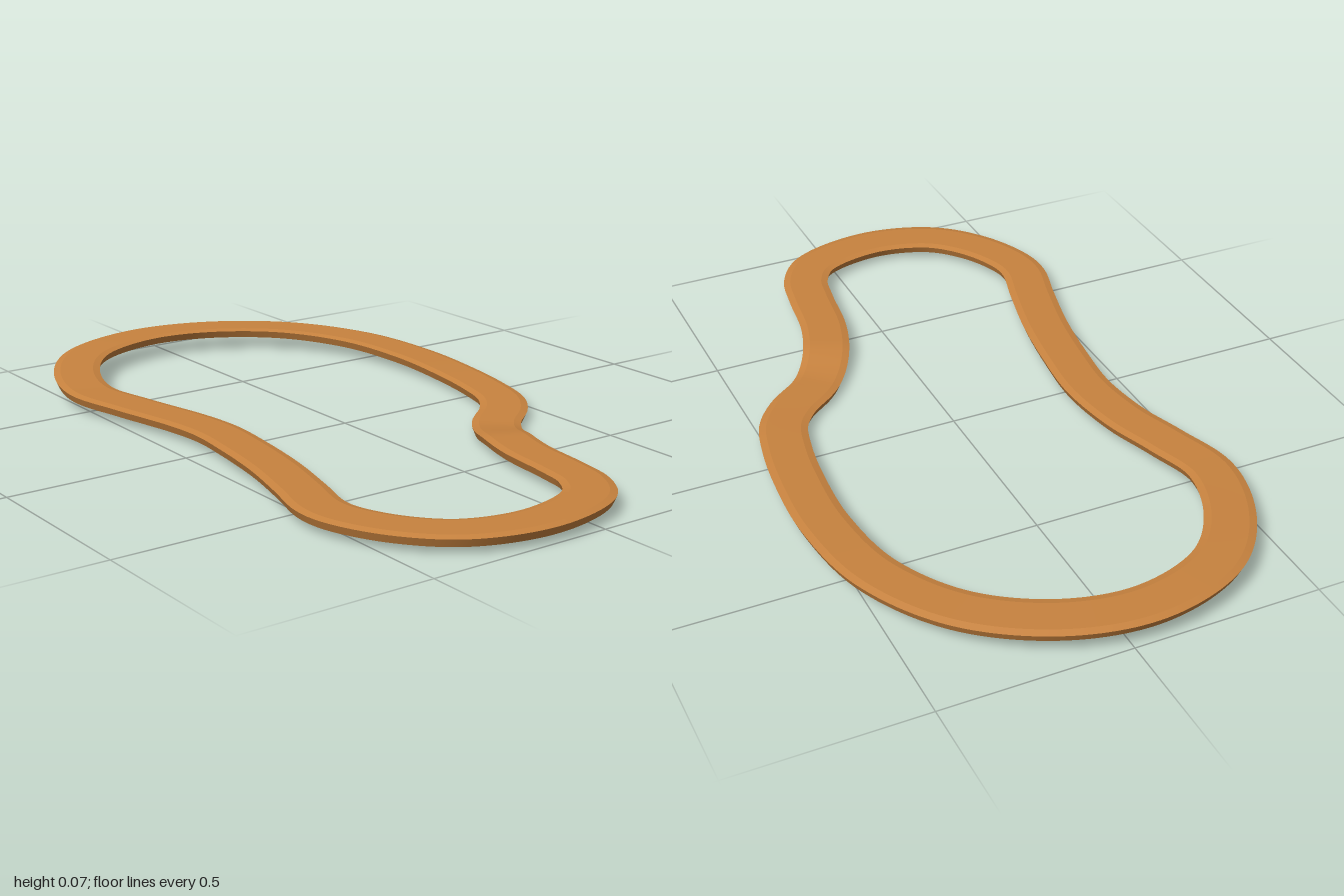
import * as THREE from 'three';

const SEGMENTS = 260;

// Centre line of the band, as x, z, clockwise seen from above
const PATH = [
  [-0.08, -0.935], [0.13, -0.9], [0.33, -0.77], [0.455, -0.565], [0.495, -0.33],
  [0.487, -0.12], [0.465, 0.03], [0.435, 0.135], [0.38, 0.21], [0.29, 0.285],
  [0.217, 0.39], [0.167, 0.53], [0.142, 0.7], [0.12, 0.8], [0.055, 0.885],
  [-0.14, 0.935], [-0.32, 0.89], [-0.425, 0.79], [-0.487, 0.66], [-0.494, 0.58],
  [-0.46, 0.45], [-0.42, 0.285], [-0.392, 0.1], [-0.38, -0.05], [-0.4, -0.21],
  [-0.443, -0.365], [-0.479, -0.53], [-0.42, -0.72], [-0.295, -0.865],
];

// Cross-section, as outward offset and height: bevelled top, tapered sides
const SECTION = [
  [-0.056, 0], [0.056, 0], [0.065, 0.021], [0.046, 0.0255], [-0.046, 0.0255], [-0.065, 0.021],
];

// Height of the underside: flat toe, rising back, and a dip at the right-hand waist
function baseHeight(x, z) {
  const rise = 0.043 * (0.3 - z) / 1.3;
  if (x < 0) return Math.max(0.018, rise);
  return z < 0.3 ? rise : 0.018 * THREE.MathUtils.smoothstep(z, 0.3, 0.45);
}

function bandGeometry() {
  const curve = new THREE.CatmullRomCurve3(
    PATH.map(([x, z]) => new THREE.Vector3(x, 0, z)), true, 'centripetal');
  const positions = [];
  const indices = [];
  const count = SECTION.length;

  // Each side of the section has its own pair of vertices, keeping its long edges sharp
  for (let i = 0; i < SEGMENTS; i++) {
    const p = curve.getPointAt(i / SEGMENTS);
    const t = curve.getTangentAt(i / SEGMENTS);
    const y = baseHeight(p.x, p.z);
    for (let j = 0; j < count; j++) {
      for (const [u, v] of [SECTION[j], SECTION[(j + 1) % count]]) {
        positions.push(p.x + t.z * u, y + v, p.z - t.x * u);
      }
      const a = (i * count + j) * 2;
      const c = (((i + 1) % SEGMENTS) * count + j) * 2;
      indices.push(a, a + 1, c, a + 1, c + 1, c);
    }
  }
  const geometry = new THREE.BufferGeometry();
  geometry.setAttribute('position', new THREE.Float32BufferAttribute(positions, 3));
  geometry.setIndex(indices);
  geometry.computeVertexNormals();
  return geometry;
}

export function createModel() {
  const group = new THREE.Group();
  group.name = 'soleWelt';
  const leather = new THREE.MeshStandardMaterial({ color: 0xc8833f });
  leather.name = 'tan leather';
  const band = new THREE.Mesh(bandGeometry(), leather);
  band.name = 'weltBand';
  group.add(band);
  return group;
}
